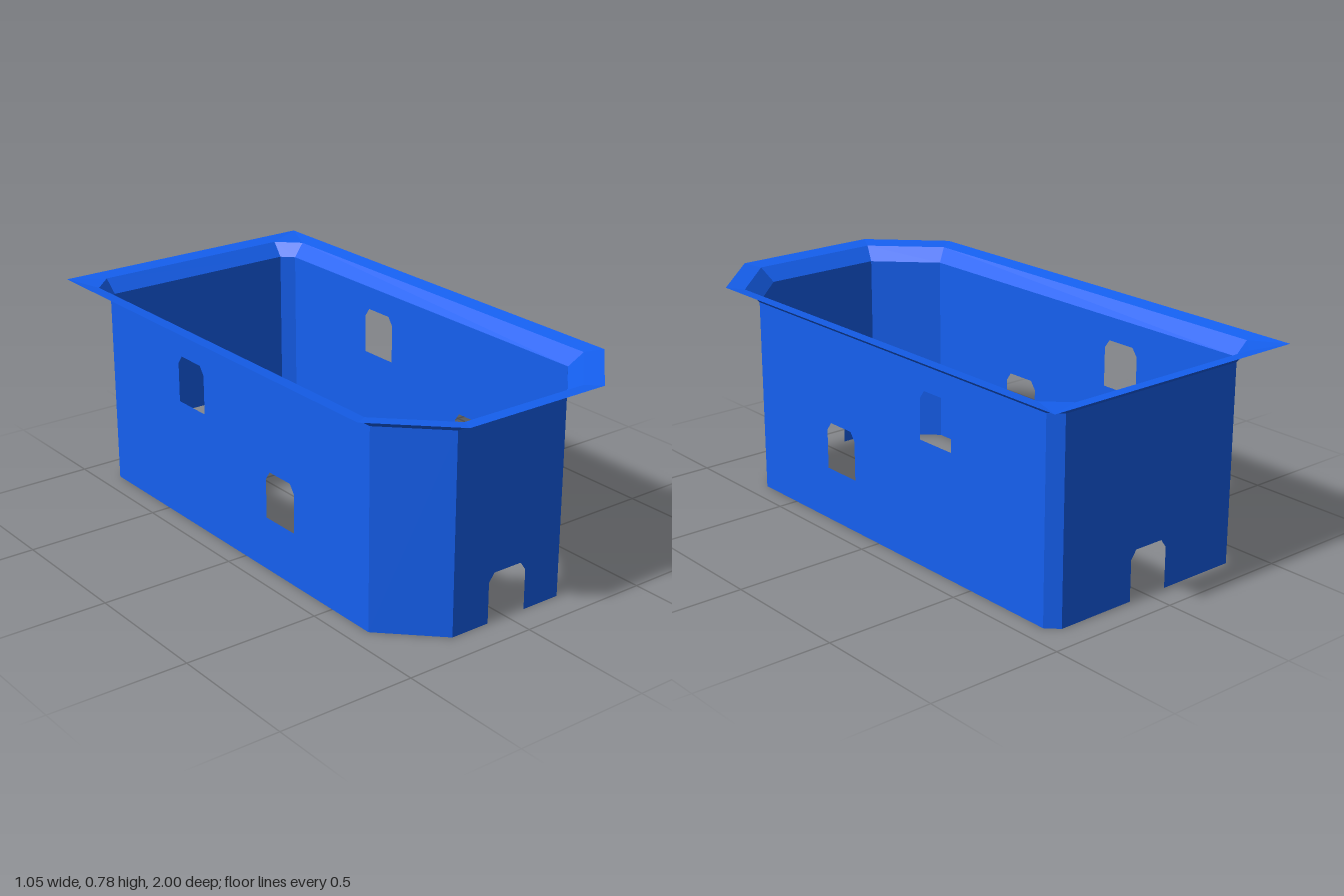
import * as THREE from 'three';

const material = new THREE.MeshStandardMaterial({ color: 0x1560f0, flatShading: true, side: THREE.DoubleSide });
const WALL_H = 0.725;

// Eight-sided outline, counter-clockwise from above, starting at the front edge.
// hx: half width, f/b: front and back z, cf/cb: front and back corner cuts
function outline(hx, f, b, cf, cb) {
  const half = [[hx - cf, f], [hx, f - cf], [hx, b + cb], [hx - cb, b]];
  return [[-half[0][0], half[0][1]], ...half, ...half.slice(1).reverse().map(([x, z]) => [-x, z])];
}

// Opening with clipped top corners, from bottom left to bottom right
function opening(cx, y, w, h) {
  const r = w / 2, cx0 = 0.022, cy = 0.031;
  return [[cx - r, y], [cx - r, y + h - cy], [cx - r + cx0, y + h],
    [cx + r - cx0, y + h], [cx + r, y + h - cy], [cx + r, y]].map(p => new THREE.Vector2(...p));
}

// Upright wall panel from a to b, with an optional door and windows
function panel(name, a, b, { door = false, windows = [] } = {}) {
  const dx = b[0] - a[0], dz = b[1] - a[1], len = Math.hypot(dx, dz);
  const points = [new THREE.Vector2(0, 0)];
  if (door) points.push(...opening(len / 2, 0, 0.16, 0.18));
  points.push(new THREE.Vector2(len, 0), new THREE.Vector2(len, WALL_H), new THREE.Vector2(0, WALL_H));
  const shape = new THREE.Shape(points);
  for (const [z, y] of windows) {
    shape.holes.push(new THREE.Path(opening(Math.abs(z - a[1]), y, 0.16, 0.177)));
  }
  const mesh = new THREE.Mesh(new THREE.ShapeGeometry(shape), material);
  mesh.position.set(a[0], 0, a[1]);
  mesh.rotation.y = Math.atan2(-dz, dx);
  mesh.name = name;
  return mesh;
}

// Band of quads joining two outlines at different heights
function band(name, lower, y0, upper, y1) {
  const pos = [], n = lower.length;
  for (let i = 0; i < n; i++) {
    const j = (i + 1) % n;
    const a = [lower[i][0], y0, lower[i][1]], b = [lower[j][0], y0, lower[j][1]];
    const c = [upper[j][0], y1, upper[j][1]], d = [upper[i][0], y1, upper[i][1]];
    pos.push(...a, ...b, ...c, ...a, ...c, ...d);
  }
  const geo = new THREE.BufferGeometry();
  geo.setAttribute('position', new THREE.Float32BufferAttribute(pos, 3));
  geo.computeVertexNormals();
  const mesh = new THREE.Mesh(geo, material);
  mesh.name = name;
  return mesh;
}

export function createModel() {
  const group = new THREE.Group();
  group.name = 'openTopHousing';

  const wall = outline(0.425, 0.887, -0.897, 0.193, 0.042);
  const flare = outline(0.468, 0.937, -0.943, 0.215, 0.08);
  const rim = outline(0.525, 1, -1, 0.24, 0);

  // Walls, running round from the front
  const windows = [[0.21, 0.198], [-0.32, 0.46]];
  const names = ['frontWall', 'frontLeftCorner', 'leftWall', 'backLeftCorner',
    'backWall', 'backRightCorner', 'rightWall', 'frontRightCorner'];
  names.forEach((name, i) => {
    const options = { door: i === 0 || i === 4, windows: i === 2 || i === 6 ? windows : [] };
    group.add(panel(name, wall[i], wall[(i + 1) % 8], options));
  });

  // Sloped collar and nearly flat rim
  group.add(band('collar', wall, WALL_H, flare, 0.775));
  group.add(band('rim', flare, 0.775, rim, 0.784));
  return group;
}
